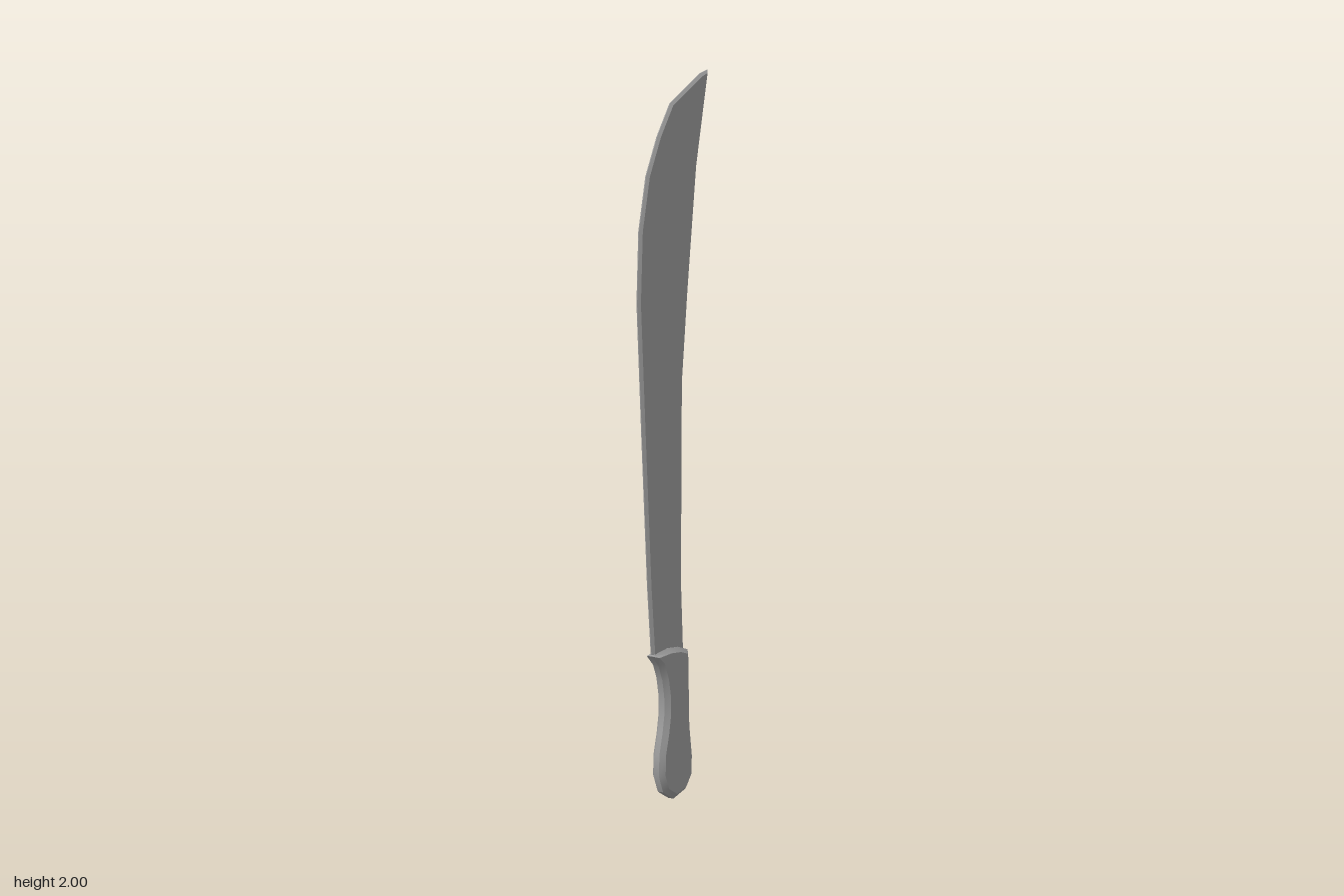
import * as THREE from 'three';
import { toCreasedNormals } from 'three/addons/utils/BufferGeometryUtils.js';

const material = new THREE.MeshStandardMaterial({ color: 0x9d9d9d });

// Slab from a [z, y] outline, centred on x = 0, with chamfered rims
function bevelledSlab(name, outline, halfThickness, halfRim, inset) {
  const shape = new THREE.Shape(outline.map(([z, y]) => new THREE.Vector2(-z, y)));
  const geometry = new THREE.ExtrudeGeometry(shape, {
    depth: 2 * halfRim,
    bevelEnabled: true,
    bevelSegments: 1,
    bevelThickness: halfThickness - halfRim,
    bevelSize: inset,
    bevelOffset: -inset,
  });
  geometry.translate(0, 0, -halfRim);
  geometry.rotateY(Math.PI / 2);
  // Smooth along the rim, sharp across the chamfers
  const mesh = new THREE.Mesh(toCreasedNormals(geometry, 0.6), material);
  mesh.name = name;
  return mesh;
}

export function createModel() {
  const group = new THREE.Group();
  group.name = 'machete';

  // Blade: cutting edge upwards, blunt clipped tip, then down the spine
  group.add(bevelledSlab('blade', [
    [0.09, 0.4], [0.107, 0.6], [0.131, 1.0], [0.153, 1.39], [0.145, 1.59],
    [0.114, 1.74], [0.065, 1.845], [0.01, 1.928], [-0.122, 1.994], [-0.153, 2.0],
    [-0.103, 1.74], [-0.065, 1.4], [-0.041, 1.15], [-0.037, 0.6], [-0.046, 0.4],
  ], 0.008, 0.001, 0.008));

  // Handle: flared guard, finger hollow, rounded butt and straight back
  group.add(bevelledSlab('handle', [
    [0.099, 0.408], [0.07, 0.378], [0.053, 0.335], [0.045, 0.29], [0.044, 0.24],
    [0.052, 0.19], [0.066, 0.13], [0.068, 0.07], [0.05, 0.025], [0.005, 0.002],
    [-0.045, 0.022], [-0.07, 0.06], [-0.072, 0.115], [-0.061, 0.2], [-0.056, 0.408],
    [-0.015, 0.42], [0.03, 0.422],
  ], 0.022, 0.009, 0.013));

  return group;
}
